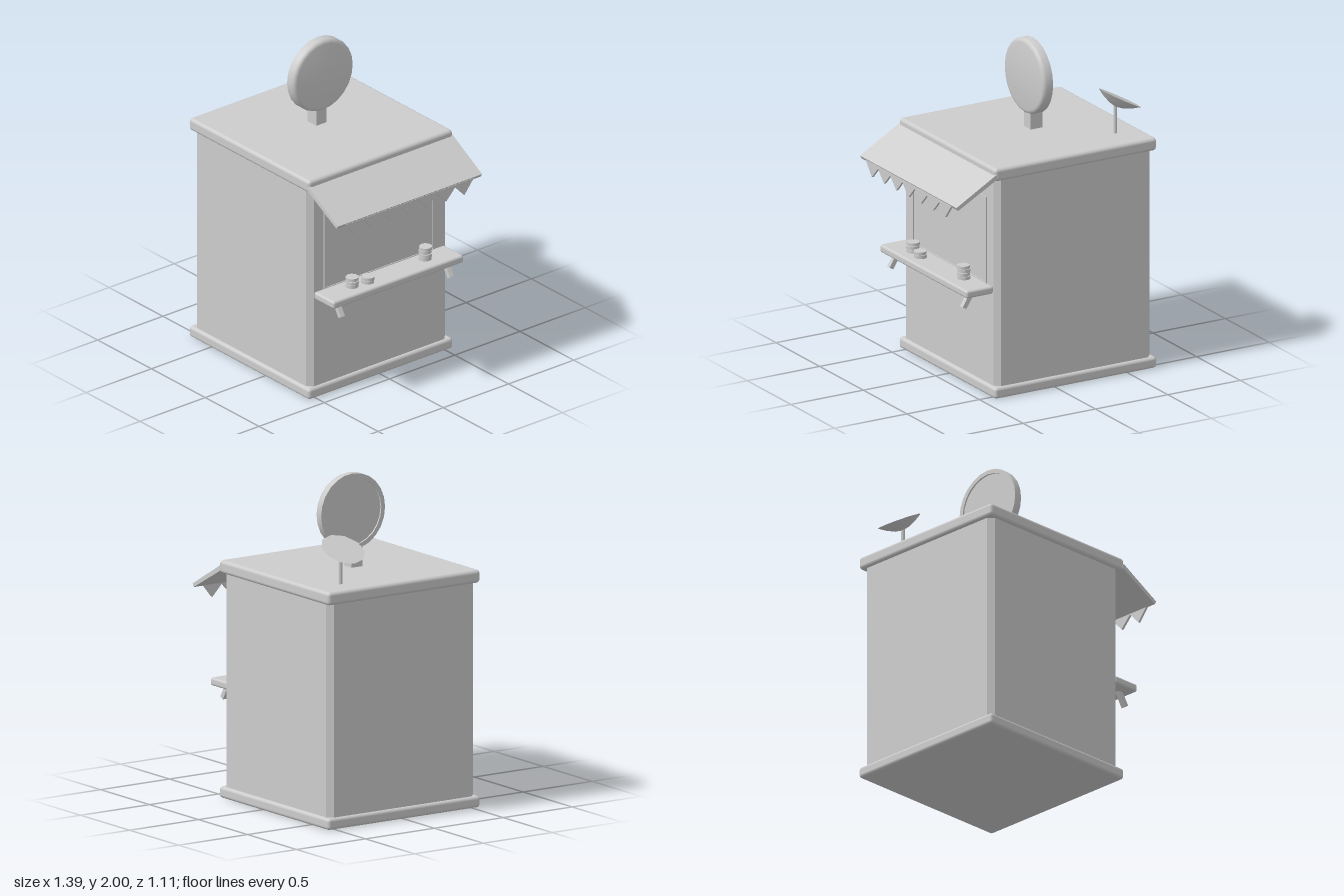
import * as THREE from 'three';
import { toCreasedNormals } from 'three/addons/utils/BufferGeometryUtils.js';
import { RoundedBoxGeometry } from 'three/addons/geometries/RoundedBoxGeometry.js';

export function createModel() {
  const model = new THREE.Group();
  model.name = 'kiosk';
  const grey = new THREE.MeshStandardMaterial({ color: 0xcccccc });
  grey.name = 'plain grey';

  const add = (name, geometry, x = 0, y = 0, z = 0, parent = model) => {
    const mesh = new THREE.Mesh(geometry, grey);
    mesh.name = name;
    mesh.position.set(x, y, z);
    parent.add(mesh);
    return mesh;
  };
  // Box given by its extents on each axis, optionally with rounded edges
  const box = (name, [x0, x1], [y0, y1], [z0, z1], r = 0) => {
    const s = [x1 - x0, y1 - y0, z1 - z0];
    const g = r ? new RoundedBoxGeometry(...s, 2, r) : new THREE.BoxGeometry(...s);
    return add(name, g, (x0 + x1) / 2, (y0 + y1) / 2, (z0 + z1) / 2);
  };
  const shapeOf = (pts) => new THREE.Shape(pts.map(([a, b]) => new THREE.Vector2(a, b)));
  const extrude = (pts, depth) =>
    new THREE.ExtrudeGeometry(shapeOf(pts), { depth, bevelEnabled: false });
  const lathe = (pts, sides, start = 0) => toCreasedNormals(
    new THREE.LatheGeometry(pts.map(([a, b]) => new THREE.Vector2(a, b)), sides, start), 0.6);

  // Hut: plinth, chamfered body, roof slab
  box('plinth', [-0.697, 0.423], [0, 0.07], [-0.553, 0.553], 0.02);
  const hx = 0.54, hz = 0.533, c = 0.034;
  const bodyGeometry = extrude([
    [hx, hz - c], [hx - c, hz], [c - hx, hz], [-hx, hz - c],
    [-hx, c - hz], [c - hx, -hz], [hx - c, -hz], [hx, c - hz],
  ], 1.34).rotateX(-Math.PI / 2);
  add('body', bodyGeometry, -0.137, 0.04, 0);
  box('roof', [-0.697, 0.423], [1.36, 1.44], [-0.553, 0.553], 0.022);

  // Serving window: thin frame on the counter side
  const frame = shapeOf([[-0.425, 0.68], [0.425, 0.68], [0.425, 1.23], [-0.425, 1.23]]);
  frame.holes.push(shapeOf([[-0.41, 0.695], [-0.41, 1.215], [0.41, 1.215], [0.41, 0.695]]));
  add('windowFrame', new THREE.ExtrudeGeometry(frame, { depth: 0.008, bevelEnabled: false })
    .rotateY(Math.PI / 2), 0.401);

  // Counter with slanted brackets
  box('counter', [0.4, 0.588], [0.643, 0.692], [-0.5, 0.5], 0.015);
  for (const side of [-1, 1]) {
    add('counterBracket', extrude(
      [[0.485, 0.66], [0.55, 0.555], [0.575, 0.57], [0.52, 0.66]], 0.03), 0, 0, side * 0.418 - 0.015);
  }

  // Stacks of round discs on the counter
  const disc = toCreasedNormals(new THREE.CylinderGeometry(0.039, 0.039, 0.019, 12), 0.6);
  for (const [count, x, z] of [[3, 0.49, 0.277], [2, 0.505, 0.17], [4, 0.482, -0.29]]) {
    const stack = new THREE.Group();
    stack.name = 'discStack';
    stack.position.set(x, 0.692, z);
    for (let i = 0; i < count; i++) {
      add('disc', disc, i % 2 ? 0.002 : -0.002, 0.011 + i * 0.022, 0, stack);
    }
    model.add(stack);
  }

  // Sloping awning with a zigzag valance
  add('awning', extrude([[0.405, 1.378], [0.678, 1.228], [0.69, 1.248], [0.415, 1.405]], 1.106), 0, 0, -0.553);
  const teeth = 7, pitch = 0.14;
  const zigzag = [[teeth * pitch / 2, 1.24], [-teeth * pitch / 2, 1.24]];
  for (let i = 0; i < teeth; i++) {
    const z = (i - teeth / 2) * pitch;
    if (i) zigzag.push([z, 1.225]);
    zigzag.push([z + pitch / 2, 1.152]);
  }
  add('valance', extrude(zigzag, 0.014).rotateY(Math.PI / 2), 0.674);

  // Round roof sign on a short post
  box('signPost', [-0.212, -0.132], [1.43, 1.56], [-0.04, 0.04]);
  add('roundSign', lathe([
    [0, 0.01], [0.205, 0.01], [0.205, 0], [0.232, 0], [0.232, 0.04],
    [0.228, 0.053], [0.219, 0.062], [0.207, 0.065], [0, 0.065],
  ], 24).rotateZ(-Math.PI / 2), -0.171, 1.768, 0);

  // Tilted dish on a thin pole
  add('dishPole', new THREE.CylinderGeometry(0.012, 0.012, 0.19, 8), -0.53, 1.525, -0.348);
  const dish = add('dish', lathe(
    [[0, -0.058], [0.045, -0.05], [0.1, -0.024], [0.137, 0], [0, 0]], 10, Math.PI / 2), -0.56, 1.655, -0.35);
  dish.rotation.z = 0.495;

  return model;
}
